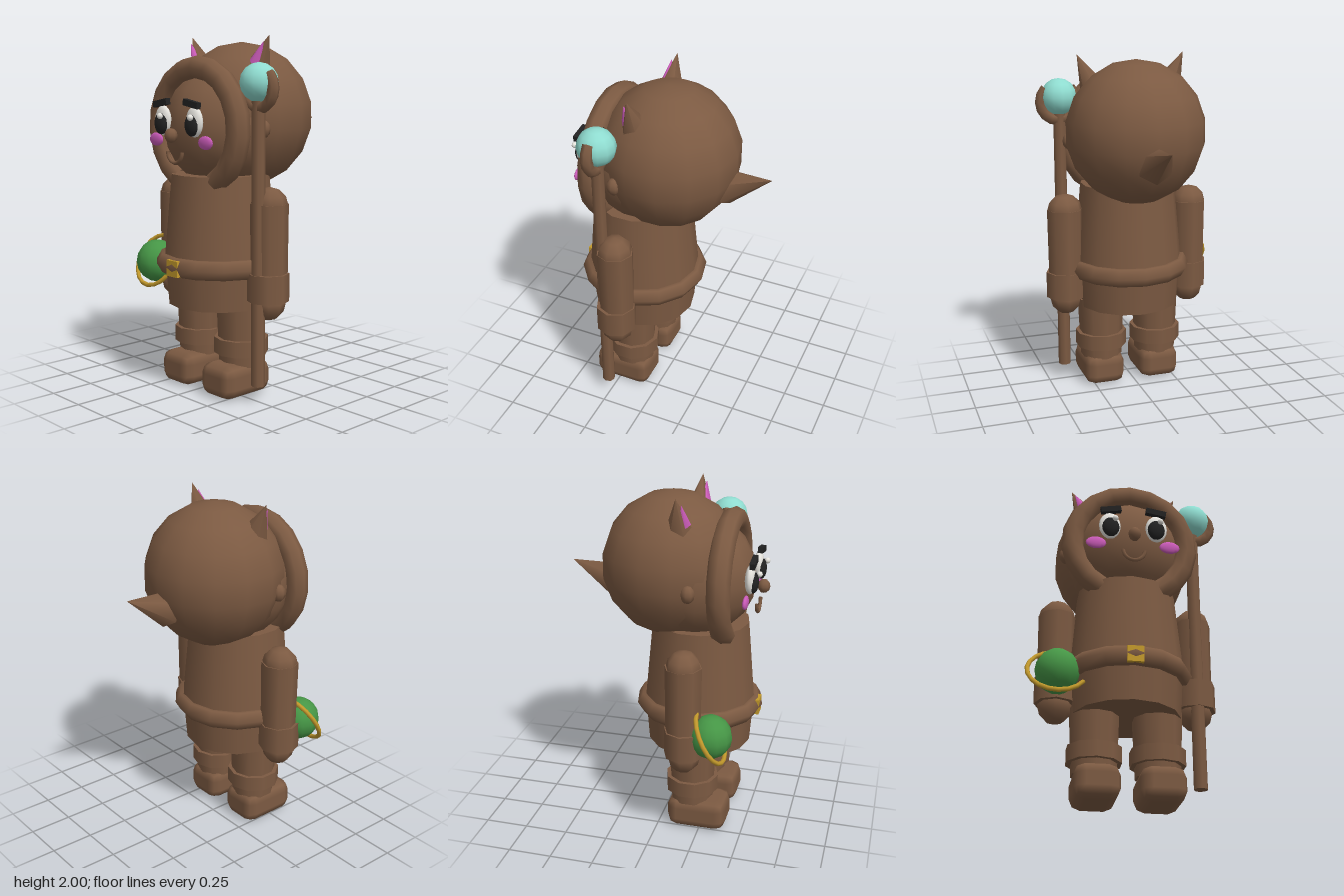
import * as THREE from 'three';
import { RoundedBoxGeometry } from 'three/addons/geometries/RoundedBoxGeometry.js';

const mat = (name, color) => {
  const m = new THREE.MeshStandardMaterial({ color, side: THREE.DoubleSide });
  m.name = name;
  return m;
};

export function createModel() {
  const model = new THREE.Group();
  model.name = 'hoodedFigure';
  const brown = mat('brown', 0x7c5a42);
  const white = mat('white', 0xe8e6e0);
  const black = mat('black', 0x222222);
  const pink = mat('pink', 0xcc5cba);
  const gold = mat('gold', 0xc49a2c);
  const green = mat('green', 0x469646);
  const cyan = mat('cyan', 0x8fdcd0);
  const CX = 0.0125; // symmetry plane of the body
  const CZ = 0.187; // depth of the body axis

  const add = (name, geo, material, x, y, z) => {
    const m = new THREE.Mesh(geo, material);
    m.name = name;
    m.position.set(x, y, z);
    model.add(m);
    return m;
  };
  const ball = (name, material, x, y, z, rx, ry = rx, rz = rx, w = 12, h = 8) => {
    const g = new THREE.SphereGeometry(1, w, h).rotateY(Math.PI / 2).scale(rx, ry, rz);
    return add(name, g, material, x, y, z);
  };
  const tube = (name, x, z, y0, y1, r0, r1, sides) =>
    add(name, new THREE.CylinderGeometry(r1, r0, y1 - y0, sides), brown, x, (y0 + y1) / 2, z);
  // Cone given by its tip, direction of the tip and size
  const spike = (name, material, tip, dir, r, h, sides) => {
    const d = dir.clone().normalize();
    const c = tip.clone().addScaledVector(d, -h / 2);
    const m = add(name, new THREE.ConeGeometry(r, h, sides), material, c.x, c.y, c.z);
    m.quaternion.setFromUnitVectors(new THREE.Vector3(0, 1, 0), d);
    return m;
  };

  // Hood, face and the open fur ring around the face
  ball('hood', brown, CX, 1.56, 0.02, 0.405, 0.412, 0.402, 14, 9);
  ball('face', brown, CX, 1.5, 0.15, 0.35, 0.35, 0.35, 14, 10);
  const ringArc = Math.PI * 1.7;
  const ring = add('hoodRing', new THREE.TorusGeometry(0.327, 0.066, 8, 16, ringArc), brown, CX, 1.5, 0.35);
  ring.rotation.z = Math.PI / 2 - ringArc / 2;
  spike('hoodPoint', brown, new THREE.Vector3(CX, 1.53, -0.576), new THREE.Vector3(0, 0.36, -0.94), 0.108, 0.29, 6);

  // Nose and smile
  ball('nose', brown, CX, 1.465, 0.541, 0.036, 0.04, 0.036, 8, 6);
  add('mouth', new THREE.TorusGeometry(0.06, 0.011, 6, 12, Math.PI), brown, CX, 1.375, 0.515).rotation.z = Math.PI;

  // Torso, belt, skirt
  tube('torso', CX, CZ, 0.72, 1.24, 0.328, 0.28, 14);
  tube('skirt', CX, CZ, 0.5, 0.74, 0.302, 0.32, 14);
  const beltGeo = new THREE.TorusGeometry(0.312, 0.06, 6, 14).rotateX(Math.PI / 2).rotateY(Math.PI / 2);
  add('belt', beltGeo, brown, CX, 0.738, CZ);
  add('buckle', new THREE.BoxGeometry(0.09, 0.09, 0.03), gold, CX, 0.735, 0.532);

  for (const s of [1, -1]) {
    const side = s > 0 ? 'left' : 'right';
    const X = (d) => CX + s * d;

    // Animal ears on the hood
    const tip = new THREE.Vector3(X(0.317), 2.0, 0.115);
    const dir = new THREE.Vector3(s * 0.43, 0.9, 0);
    spike(side + 'Ear', brown, tip, dir, 0.086, 0.23, 6);
    spike(side + 'EarInner', pink, new THREE.Vector3(X(0.299), 1.965, 0.142), dir, 0.04, 0.125, 6);
    ball(side + 'SideEar', brown, X(0.35), 1.5, 0.19, 0.04, 0.05, 0.04, 8, 6);

    // Eyes, brows and cheeks
    ball(side + 'Eye', white, X(0.132), 1.54, 0.487, 0.062, 0.083, 0.03);
    ball(side + 'Pupil', black, X(0.129), 1.523, 0.505, 0.049, 0.06, 0.028);
    ball(side + 'EyeShine', white, X(0.128) + 0.022, 1.565, 0.532, 0.017, 0.017, 0.017, 8, 6);
    add(side + 'Brow', new THREE.BoxGeometry(0.115, 0.034, 0.03), black, X(0.128), 1.636, 0.502).rotation.z = -s * 0.17;
    ball(side + 'Cheek', pink, X(0.208), 1.432, 0.477, 0.058, 0.037, 0.016);

    // Arm with shoulder, cuff and mitten
    ball(side + 'Shoulder', brown, X(0.389), 1.09, 0.18, 0.106, 0.102, 0.1, 8, 6);
    tube(side + 'Arm', X(0.389), 0.18, 0.6, 1.1, 0.1, 0.105, 8);
    tube(side + 'Cuff', X(0.389), 0.188, 0.565, 0.72, 0.116, 0.116, 8);
    ball(side + 'Mitten', brown, X(0.389), 0.555, 0.185, 0.096, 0.1, 0.096, 8, 6);

    // Leg with boot cuff and chamfered boot
    tube(side + 'Leg', X(0.173), CZ, 0.17, 0.54, 0.125, 0.14, 10);
    tube(side + 'BootCuff', X(0.173), CZ, 0.235, 0.325, 0.154, 0.154, 10);
    add(side + 'Boot', new RoundedBoxGeometry(0.245, 0.19, 0.35, 1, 0.06), brown, X(0.173), 0.097, 0.23);
  }

  // Staff with an open claw holding an orb
  tube('staff', 0.4, 0.262, 0.1, 1.68, 0.038, 0.036, 8);
  ball('staffOrb', cyan, 0.402, 1.75, 0.26, 0.105, 0.105, 0.108);
  const claw = add('staffClaw', new THREE.TorusGeometry(0.104, 0.033, 6, 12, Math.PI * 1.5), brown, 0.405, 1.72, 0.262);
  claw.rotation.z = Math.PI * 0.75;

  // Green globe with a tilted gold arc
  ball('globe', green, -0.38, 0.697, 0.34, 0.122, 0.125, 0.122);
  const arc = add('globeArc', new THREE.TorusGeometry(0.16, 0.013, 6, 12, Math.PI * 1.3), gold, -0.382, 0.7, 0.34);
  arc.rotation.set(-0.5, 0, 1.68);

  return model;
}
